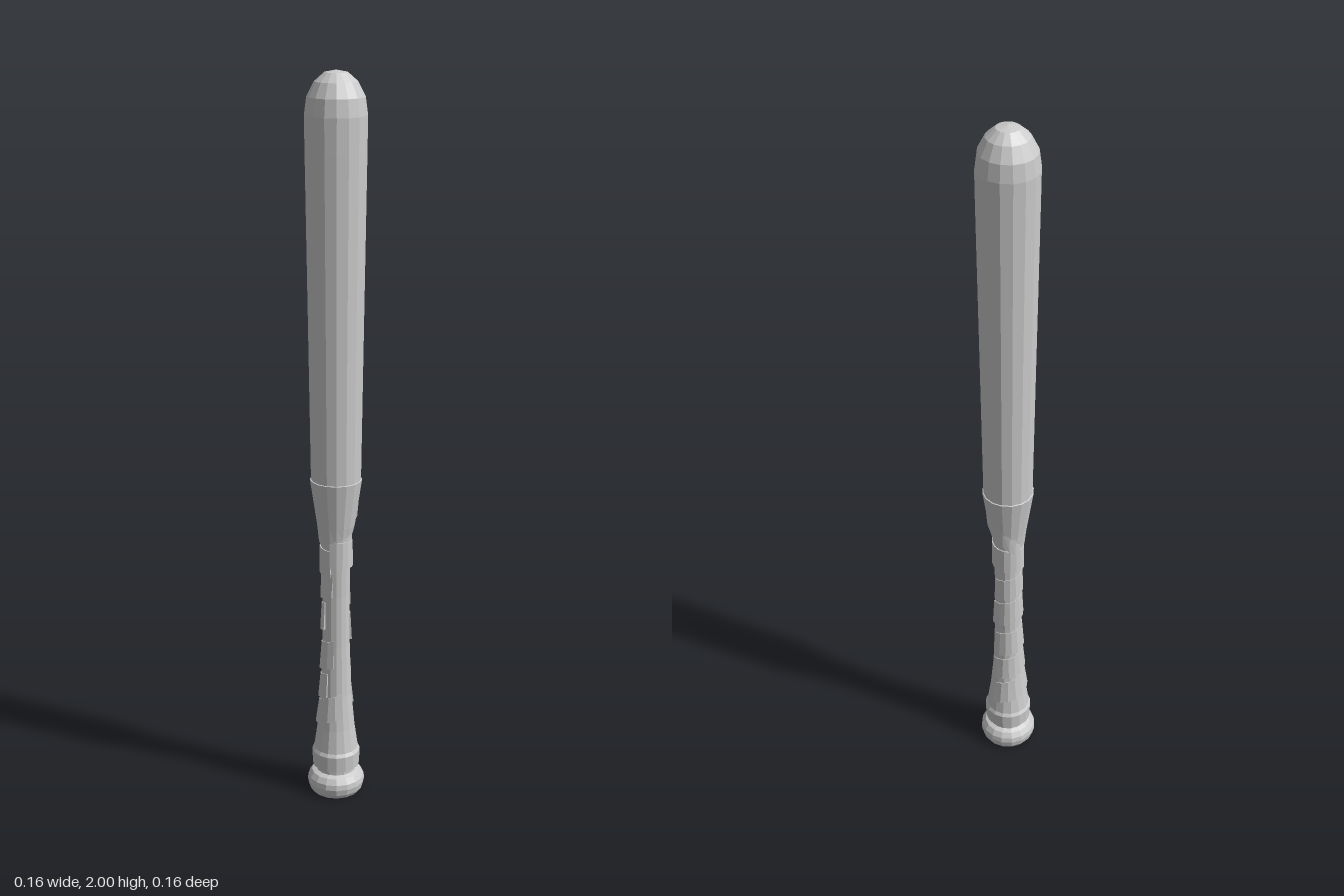
import * as THREE from 'three';

const SIDES = 16;
const material = new THREE.MeshStandardMaterial({ color: 0xcccccc, flatShading: true });

// Grip radius by height, shared by the handle and the tape around it
const GRIP = [[0.13, 0.062], [0.2, 0.052], [0.3, 0.043], [0.45, 0.038], [0.6, 0.037], [0.7, 0.039], [0.78, 0.044], [0.93, 0.067]];

function gripRadius(y) {
  for (let i = 1; i < GRIP.length; i++) {
    const [y0, r0] = GRIP[i - 1], [y1, r1] = GRIP[i];
    if (y <= y1) return r0 + (r1 - r0) * Math.max(0, (y - y0) / (y1 - y0));
  }
  return GRIP[GRIP.length - 1][1];
}

function turned(name, profile) {
  const points = profile.map(([y, r]) => new THREE.Vector2(r, y));
  const mesh = new THREE.Mesh(new THREE.LatheGeometry(points, SIDES), material);
  mesh.name = name;
  return mesh;
}

// Closed strip of tape climbing round the grip; its lower edge stands proud
function tape(name, { start, turns, y0, y1, width, lift = 0.006 }) {
  const steps = Math.max(3, Math.round(turns * SIDES));
  const positions = [], index = [];
  for (let i = 0; i <= steps; i++) {
    const t = i / steps;
    const angle = start + t * turns * Math.PI * 2;
    const low = y0 + (y1 - y0) * t, high = low + width;
    const section = [[low, -0.004], [low, lift], [high, lift * 0.4], [high, -0.004]];
    for (const [y, out] of section) {
      const r = gripRadius(y) + out;
      positions.push(r * Math.sin(angle), y, r * Math.cos(angle));
    }
  }
  for (let i = 0; i < steps; i++) {
    for (let k = 0; k < 4; k++) {
      const a = i * 4 + k, b = i * 4 + (k + 1) % 4;
      index.push(a, a + 4, b, b, a + 4, b + 4);
    }
  }
  const e = steps * 4;
  index.push(0, 1, 2, 0, 2, 3, e, e + 2, e + 1, e, e + 3, e + 2);
  const geometry = new THREE.BufferGeometry();
  geometry.setAttribute('position', new THREE.Float32BufferAttribute(positions, 3));
  geometry.setIndex(index);
  geometry.computeVertexNormals();
  const mesh = new THREE.Mesh(geometry, material);
  mesh.name = name;
  return mesh;
}

export function createModel() {
  const bat = new THREE.Group();
  bat.name = 'bat';

  // Barrel with a domed end
  bat.add(turned('barrel', [
    [0.9, 0.062], [0.93, 0.067], [1.3, 0.072], [1.8, 0.079], [1.89, 0.08],
    [1.935, 0.074], [1.972, 0.055], [1.994, 0.03], [2.0, 0],
  ]));

  // Slim handle, flaring at both ends
  bat.add(turned('handle', GRIP));

  // Flared top of the grip wrap
  const collar = turned('gripCollar', [[0.76, 0.042], [0.76, 0.046], [0.8, 0.051], [0.93, 0.07], [0.932, 0.064]]);
  const p = collar.geometry.attributes.position;
  for (let i = 0; i < p.count; i++) {
    // Slant the collar's lower edge
    if (p.getY(i) < 0.77) p.setY(i, 0.765 + 0.3 * p.getX(i));
  }
  collar.geometry.computeVertexNormals();
  bat.add(collar);

  // Tape: short overlapping wraps plus one steep strip over the collar
  const wraps = [
    { start: 2.2, turns: 0.7, y0: 0.17, y1: 0.24, width: 0.07 },
    { start: 1.9, turns: 0.6, y0: 0.26, y1: 0.3, width: 0.07 },
    { start: 2.0, turns: 0.65, y0: 0.35, y1: 0.39, width: 0.08 },
    { start: 1.6, turns: 0.6, y0: 0.46, y1: 0.5, width: 0.08 },
    { start: 1.9, turns: 0.65, y0: 0.56, y1: 0.6, width: 0.07 },
    { start: -0.4, turns: 1, y0: 0.69, y1: 0.66, width: 0.075, lift: 0.007 },
    { start: 1.6, turns: 0.35, y0: 0.82, y1: 0.72, width: 0.06, lift: 0.007 },
  ];
  wraps.forEach((wrap, i) => bat.add(tape(`gripTape${i + 1}`, wrap)));

  // Band closing the wrap, then the narrow neck and the knob
  bat.add(turned('gripBand', [[0.08, 0.05], [0.08, 0.065], [0.125, 0.067], [0.135, 0.061]]));
  bat.add(turned('neck', [[0.06, 0.055], [0.085, 0.055]]));
  bat.add(turned('knob', [
    [0, 0], [0, 0.068], [0.012, 0.076], [0.03, 0.08], [0.045, 0.078], [0.06, 0.068], [0.066, 0.054], [0.066, 0],
  ]));

  return bat;
}
